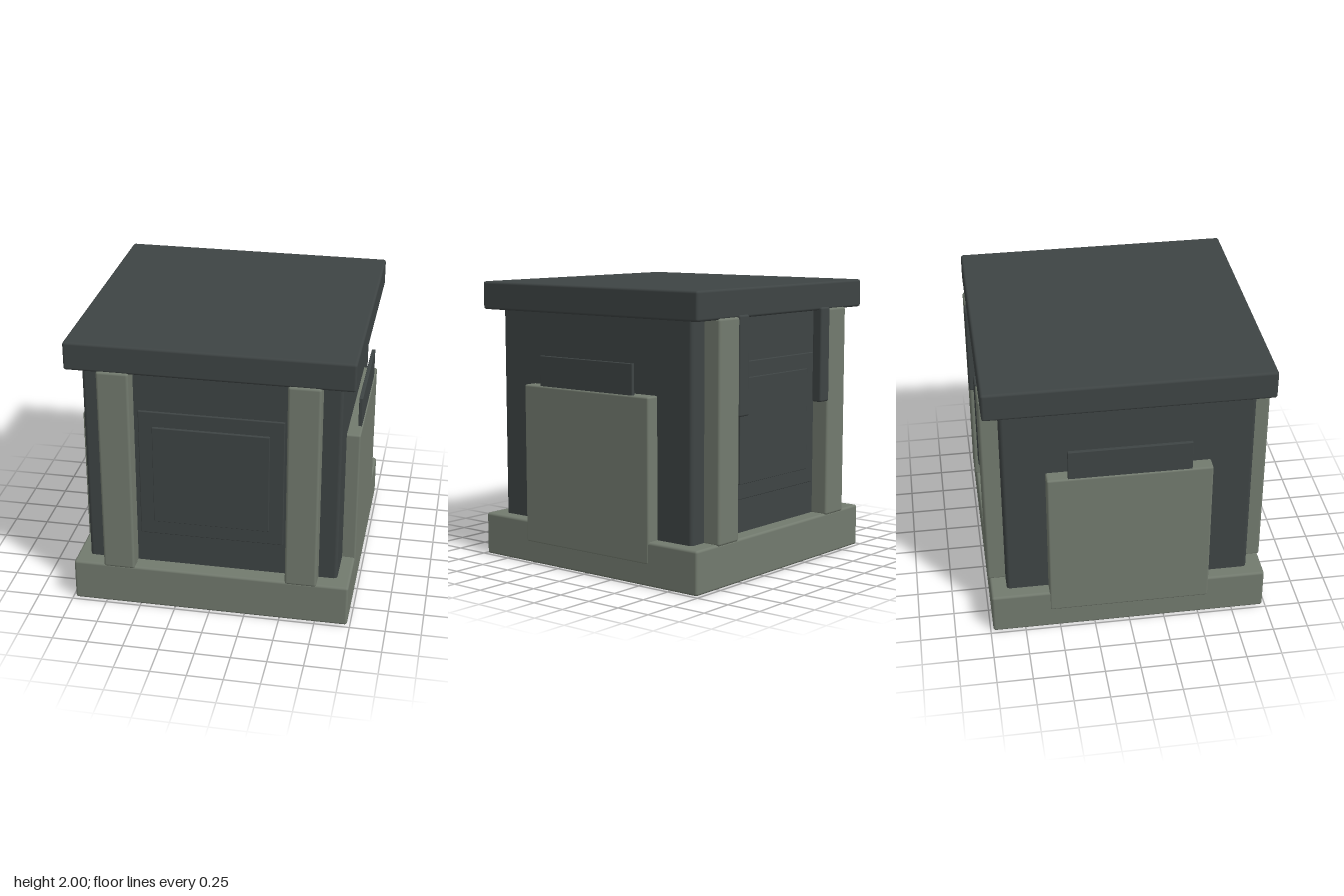
import * as THREE from 'three';
import { RoundedBoxGeometry } from 'three/addons/geometries/RoundedBoxGeometry.js';

const dark = new THREE.MeshStandardMaterial({ color: 0x3e4444 });
dark.name = 'darkSlate';
const green = new THREE.MeshStandardMaterial({ color: 0x727a6e });
green.name = 'greyGreen';

// Bevelled box given by its min/max along each axis
function block(name, material, [x0, x1], [y0, y1], [z0, z1], bevel = 0.018) {
  const geometry = new RoundedBoxGeometry(x1 - x0, y1 - y0, z1 - z0, 2, bevel);
  const mesh = new THREE.Mesh(geometry, material);
  mesh.position.set((x0 + x1) / 2, (y0 + y1) / 2, (z0 + z1) / 2);
  mesh.name = name;
  return mesh;
}

// Ordered range mirrored by the sign s
const side = (s, a, b) => (s > 0 ? [a, b] : [-b, -a]);

export function createModel() {
  const model = new THREE.Group();
  model.name = 'squareKiosk';

  // Plinth, core and roof slab
  model.add(
    block('base', green, [-0.98, 0.98], [0, 0.305], [-0.98, 0.98]),
    block('body', dark, [-0.888, 0.888], [0.2, 1.9], [-0.865, 0.865], 0.025),
    block('roof', dark, [-0.98, 0.98], [1.8, 2], [-0.98, 0.98])
  );

  for (const s of [1, -1]) {
    const face = s > 0 ? 'front' : 'back';
    const hand = s > 0 ? 'left' : 'right';

    // Stepped panels on front and back
    model.add(
      block(face + 'OuterPanel', dark, [-0.505, 0.505], [0.54, 1.49], side(s, 0.84, 0.88), 0.006),
      block(face + 'InnerPanel', dark, [-0.405, 0.405], [0.65, 1.38], side(s, 0.85, 0.9), 0.004)
    );

    // Pillars
    for (const t of [1, -1]) {
      model.add(block(face + 'Pillar', green, side(t, 0.535, 0.757), [0.295, 1.81], side(s, 0.8, 0.992)));
    }

    // Side slab with a thin plate rising out of it
    model.add(
      block(hand + 'SideSlab', green, side(s, 0.86, 0.984), [0.15, 1.285], [-0.57, 0.57], 0.014),
      block(hand + 'SidePlate', dark, side(s, 0.95, 0.976), [0.9, 1.497], [-0.425, 0.425], 0.004)
    );

    // Hanging brackets beside the back pillars
    model.add(block(hand + 'BackBracket', dark, side(s, 0.433, 0.542), [1.14, 1.82], [-0.997, -0.92], 0.014));
  }
  return model;
}
